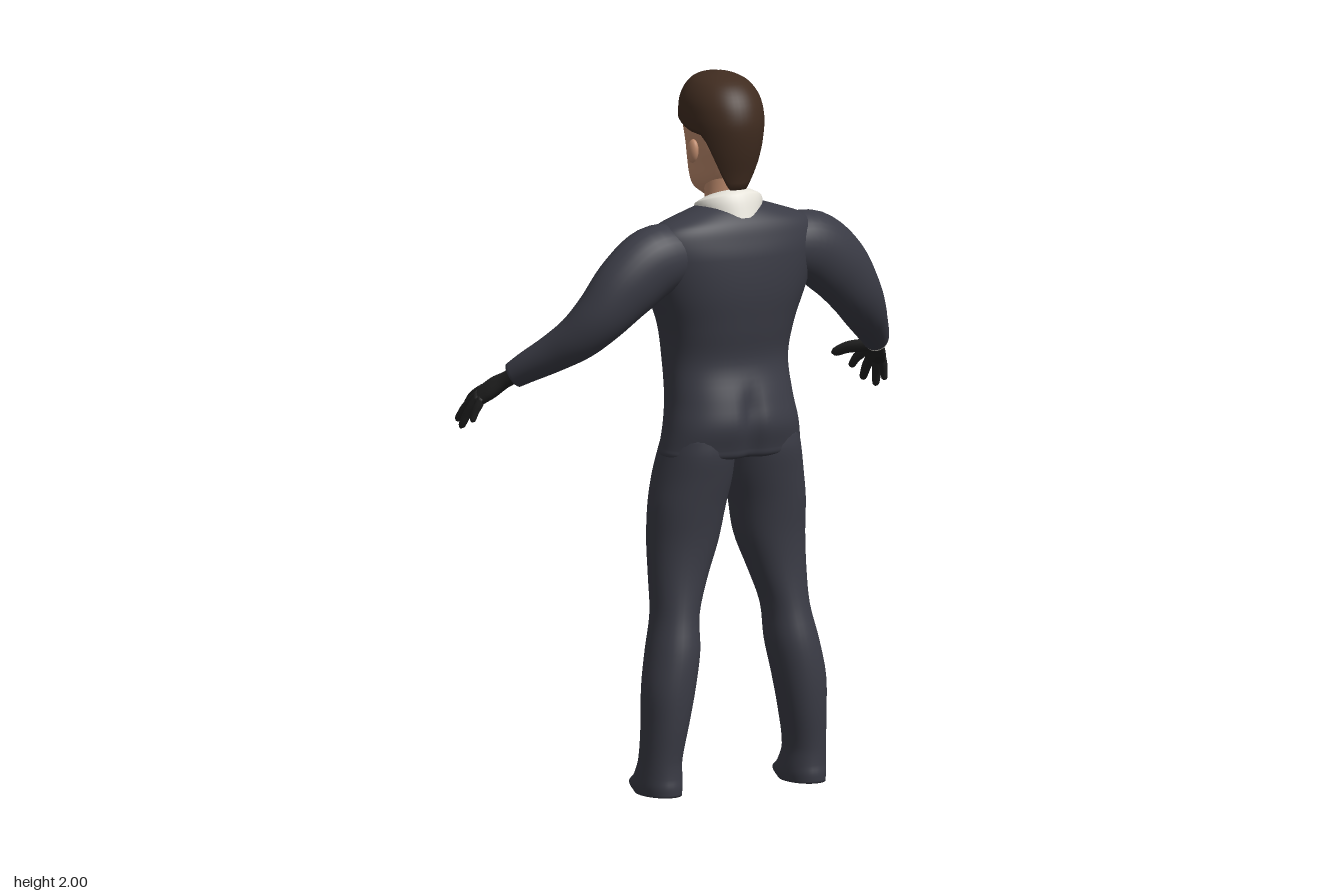
import * as THREE from 'three';

const mat = (name, color) => Object.assign(new THREE.MeshStandardMaterial({ color }), { name });
const V = (x, y, z) => new THREE.Vector3(x, y, z);

// Surface through closed rings of points, optionally capped at both ends
function skin(rings, caps = true) {
  const n = rings[0].length, pos = [], idx = [];
  rings.forEach(r => r.forEach(p => pos.push(p.x, p.y, p.z)));
  for (let i = 0; i < rings.length - 1; i++) for (let j = 0; j < n; j++) {
    const a = i * n + j, b = i * n + (j + 1) % n;
    idx.push(a, b, b + n, a, b + n, a + n);
  }
  if (caps) [0, rings.length - 1].forEach((r, end) => {
    const c = rings[r].reduce((s, p) => s.add(p), V(0, 0, 0)).divideScalar(n), k = pos.length / 3;
    pos.push(c.x, c.y, c.z);
    for (let j = 0; j < n; j++) {
      const a = r * n + j, b = r * n + (j + 1) % n;
      end ? idx.push(k, a, b) : idx.push(k, b, a);
    }
  });
  return finish(pos, idx);
}

function finish(pos, idx) {
  const g = new THREE.BufferGeometry();
  g.setAttribute('position', new THREE.Float32BufferAttribute(pos, 3));
  g.setIndex(idx);
  g.computeVertexNormals();
  return g;
}

// Smooth lookup in a table of [y, cx, cz, rx, rz] rows listed from top to bottom
function at(rows, y) {
  let i = 0;
  while (i < rows.length - 2 && y < rows[i + 1][0]) i++;
  const slope = (k, c) => {
    const a = rows[Math.max(k - 1, 0)], b = rows[Math.min(k + 1, rows.length - 1)];
    return (b[c] - a[c]) / (b[0] - a[0]);
  };
  const p = rows[i], q = rows[i + 1], h = q[0] - p[0];
  const t = THREE.MathUtils.clamp((y - p[0]) / h, 0, 1), t2 = t * t, t3 = t2 * t;
  return p.map((v, c) => c === 0 ? y : (2 * t3 - 3 * t2 + 1) * v + (t3 - 2 * t2 + t) * h * slope(i, c)
    + (3 * t2 - 2 * t3) * q[c] + (t3 - t2) * h * slope(i + 1, c));
}

// Point on a superellipse ring
const pw = (v, e) => Math.sign(v) * Math.abs(v) ** (2 / e);
const ringPoint = ([y, cx, cz, rx, rz], a, e) => V(cx + rx * pw(Math.cos(a), e), y, cz + rz * pw(Math.sin(a), e));

// Stack of horizontal rings
function stack(rows, { e = 2, seg = 40, sub = 5, bend = p => p, caps = true } = {}) {
  const rings = [];
  for (let i = 0; i < rows.length - 1; i++) for (let s = i ? 1 : 0; s <= sub; s++) {
    const row = at(rows, THREE.MathUtils.lerp(rows[i][0], rows[i + 1][0], s / sub));
    rings.push(Array.from({ length: seg }, (_, j) => bend(ringPoint(row, j / seg * Math.PI * 2, e))));
  }
  return skin(rings, caps);
}

// Limb along a path of [x, y, z, ru, rv]; v follows the hint direction
function limb(rows, side = 1, { hint = V(0, 0, 1), seg = 24, steps = 24 } = {}) {
  const curve = new THREE.CatmullRomCurve3(rows.map(r => V(r[0] * side, r[1], r[2])));
  const radii = new THREE.CatmullRomCurve3(rows.map(r => V(r[3], r[4], 0)));
  const rings = [];
  for (let i = 0; i <= steps; i++) {
    const t = i / steps, c = curve.getPoint(t), r = radii.getPoint(t), T = curve.getTangent(t);
    const U = T.clone().cross(hint).normalize(), W = T.clone().cross(U);
    rings.push(Array.from({ length: seg }, (_, j) => {
      const a = j / seg * Math.PI * 2;
      return c.clone().addScaledVector(U, r.x * Math.cos(a)).addScaledVector(W, r.y * Math.sin(a));
    }));
  }
  return skin(rings);
}

// Thin plate hugging the face side (-z) of a ring stack
const faceZ = (rows, x, y, e) => {
  const [, , cz, rx, rz] = at(rows, y);
  return cz - rz * Math.max(0, 1 - Math.abs(x / rx) ** e) ** (1 / e);
};
function plate(rows, e, top, bottom, halfWidth, lift) {
  const pos = [], idx = [], nx = 16, ny = 24;
  for (let i = 0; i <= ny; i++) for (let j = 0; j <= nx; j++) {
    const t = i / ny, y = THREE.MathUtils.lerp(top, bottom, t), x = halfWidth(t) * (j / nx * 2 - 1);
    pos.push(x, y, faceZ(rows, x, y, e) - lift);
    if (i < ny && j < nx) {
      const a = i * (nx + 1) + j, c = a + nx + 1;
      idx.push(a, a + 1, c, a + 1, c + 1, c);
    }
  }
  return finish(pos, idx);
}

const TORSO = [[1.645, 0, .135, .07, .05], [1.62, 0, .14, .15, .075], [1.59, 0, .142, .23, .095],
  [1.55, 0, .138, .262, .112], [1.5, 0, .13, .262, .13], [1.4, 0, .115, .235, .145], [1.3, 0, .11, .2, .135],
  [1.2, 0, .105, .184, .125], [1.1, 0, .125, .185, .135], [1.03, 0, .137, .196, .138],
  [.965, 0, .133, .208, .127], [.945, 0, .132, .209, .122], [.938, 0, .13, .19, .11]];
const LEG = [[1, .1, .135, .095, .11], [.95, .105, .13, .102, .117], [.88, .113, .12, .109, .115],
  [.8, .127, .115, .108, .105], [.7, .138, .11, .1, .095], [.6, .157, .118, .081, .083], [.5, .175, .132, .065, .078],
  [.4, .189, .145, .072, .086], [.3, .207, .154, .072, .082], [.2, .218, .154, .063, .076], [.1, .228, .146, .056, .071],
  [.05, .228, .133, .06, .083], [.025, .228, .12, .062, .1], [0, .228, .135, .056, .083]];
const HEAD = [[1.93, 0, .08, .088, .11], [1.87, 0, .08, .097, .12], [1.8, 0, .085, .09, .115], [1.75, 0, .077, .081, .107],
  [1.7, 0, .066, .071, .09], [1.67, 0, .052, .052, .074], [1.65, 0, .052, .028, .04]];
const HAIR = [[2, 0, .07, .003, .003], [1.99, 0, .07, .045, .06], [1.97, 0, .075, .077, .1], [1.93, 0, .08, .101, .13],
  [1.88, 0, .085, .108, .142], [1.84, 0, .087, .106, .14], [1.78, 0, .09, .098, .125], [1.72, 0, .1, .08, .096],
  [1.68, 0, .1, .062, .086]];
const ARM = [[.16, 1.51, .145, .085, .08], [.25, 1.495, .145, .1, .085], [.33, 1.435, .14, .095, .08],
  [.4, 1.355, .12, .078, .072], [.45, 1.295, .085, .066, .062], [.5, 1.245, .03, .054, .052],
  [.55, 1.2, -.03, .044, .042], [.575, 1.175, -.062, .038, .036]];
const PALM = [[.57, 1.18, -.055, .024, .026], [.585, 1.16, -.085, .02, .028], [.605, 1.13, -.13, .02, .042],
  [.622, 1.105, -.165, .016, .042], [.63, 1.095, -.18, .006, .03]];
// Finger base, then tip
const FINGERS = [['thumb', [.585, 1.145, -.115], [.53, 1.112, -.228], .016],
  ['indexFinger', [.61, 1.115, -.185], [.612, 1.06, -.268], .0125],
  ['middleFinger', [.627, 1.1, -.178], [.645, 1.022, -.26], .013],
  ['ringFinger', [.637, 1.095, -.16], [.66, 1.01, -.212], .0125],
  ['littleFinger', [.638, 1.095, -.135], [.656, 1.035, -.155], .011]];

export function createModel() {
  const suit = mat('suit', 0x3a3b45), flesh = mat('skin', 0xc08c6e), brown = mat('hair', 0x402c20),
    glove = mat('glove', 0x222222), shirt = mat('shirt', 0xe6e3da), red = mat('tie', 0x8c2232),
    black = mat('black', 0x0c0c0e), silver = mat('chain', 0xb4b2a8), lip = mat('lip', 0x96604e);
  shirt.side = THREE.DoubleSide;
  const model = new THREE.Group();
  const add = (name, geo, material) => {
    const m = new THREE.Mesh(geo, material);
    m.name = name;
    model.add(m);
    return m;
  };
  const ball = (name, material, p, s) => {
    const m = add(name, new THREE.SphereGeometry(1, 20, 14), material);
    m.position.set(...p);
    m.scale.set(...s);
    return m;
  };

  // Jacket, creased down the lower back
  add('jacket', stack(TORSO, { e: 2.2, seg: 72, bend: p => {
    if (p.z > .13) p.z -= .018 * Math.exp(-((p.x / .025) ** 2)) * THREE.MathUtils.smoothstep(1.16 - p.y, 0, .1);
    return p;
  } }), suit);

  // Shirt front, collar and tie
  add('shirtFront', plate(TORSO, 2.2, 1.622, 1.28, t => .088 * (1 - t) ** .85, .004), shirt);
  add('collar', stack([[1.66, 0, .115, .068, .064], [1.645, 0, .122, .096, .08], [1.605, 0, .13, .088, .096]],
    { caps: false, bend: p => { p.y += (p.z - .12) * (p.y - 1.6) * 7; return p; } }), shirt);
  add('tieKnot', plate(TORSO, 2.2, 1.62, 1.565, t => .03 - .01 * t, .014), red);
  add('tieBlade', plate(TORSO, 2.2, 1.565, 1.285, t => t < .65 ? .02 + .025 * t : .036 * (1 - t) / .35, .009), red);

  // Watch chain and button
  const links = [0, .25, .5, .75, 1].map(t => {
    const x = .02 + .11 * t, y = 1.085 - .14 * t * (1 - t);
    return V(x, y, faceZ(TORSO, x, y, 2.2) - .004);
  });
  add('watchChain', new THREE.TubeGeometry(new THREE.CatmullRomCurve3(links), 24, .003, 6), silver);
  ball('button', black, [0, 1.085, faceZ(TORSO, 0, 1.085, 2.2)], [.01, .01, .006]);

  // Head and neck
  add('neck', stack([[1.74, 0, .105, .06, .062], [1.64, 0, .112, .06, .055], [1.58, 0, .12, .065, .058]]), flesh);
  add('head', stack(HEAD, { e: 2.15 }), flesh);
  add('nose', limb([[0, 1.815, -.018, .01, .01], [0, 1.78, -.03, .012, .014], [0, 1.752, -.041, .018, .017],
    [0, 1.735, -.028, .015, .01]]), flesh);
  ball('lips', lip, [0, 1.703, faceZ(HEAD, 0, 1.703, 2.15) + .002], [.025, .008, .007]);
  ball('chin', flesh, [0, 1.672, -.003], [.03, .018, .02]);
  add('darkGlasses', plate(HEAD, 2.15, 1.838, 1.798, t => .08 - .014 * t, .006), black);

  // Hair cap with a straight fringe and a tapered nape
  const hairRings = [];
  for (let i = 0; i <= 25; i++) hairRings.push(Array.from({ length: 48 }, (_, j) => {
    const a = j / 48 * Math.PI * 2, fromBack = Math.acos(Math.sin(a)), ss = THREE.MathUtils.smoothstep;
    const low = 1.68 + .16 * ss(fromBack, .35, 1.25) + .027 * ss(fromBack, 1.3, 2.2);
    const row = at(HAIR, 2 + (low - 2) * Math.min(i / 24, 1) ** 1.6);
    if (i === 25) { row[3] *= .78; row[4] *= .78; }
    return ringPoint(row, a, 2.1);
  }));
  add('hair', skin(hairRings, false), brown);

  // Mirrored parts
  for (const [side, tag] of [[1, 'left'], [-1, 'right']]) {
    add(tag + 'Leg', stack(LEG.map(r => [r[0], r[1] * side, ...r.slice(2)]), { e: 2.1, seg: 32, sub: 4 }), suit);
    add(tag + 'Sleeve', limb(ARM, side, { steps: 36, seg: 32 }), suit);
    ball(tag + 'Ear', flesh, [side * .096, 1.785, .095], [.014, .034, .022]).rotation.x = .2;
    const across = V(-.4 * side, .3, -.85).normalize();
    add(tag + 'Palm', limb(PALM, side, { hint: across }), glove);
    for (const [name, b, t, r] of FINGERS) {
      const p = (k, s, up = 0) => [...b.map((v, c) => v + (t[c] - v) * k + (c === 1 ? up : 0)), r * s, r * s];
      add(tag + name[0].toUpperCase() + name.slice(1), limb([p(-.15, 1), p(.25, 1.1, .004), p(.6, 1, .006),
        p(.9, .8), p(1, .2)], side, { hint: across, seg: 12, steps: 14 }), glove);
    }
  }
  add('leftCuff', limb([[.57, 1.18, -.056, .036, .034], [.583, 1.166, -.072, .034, .032]], 1, { steps: 2 }), shirt);
  return model;
}
